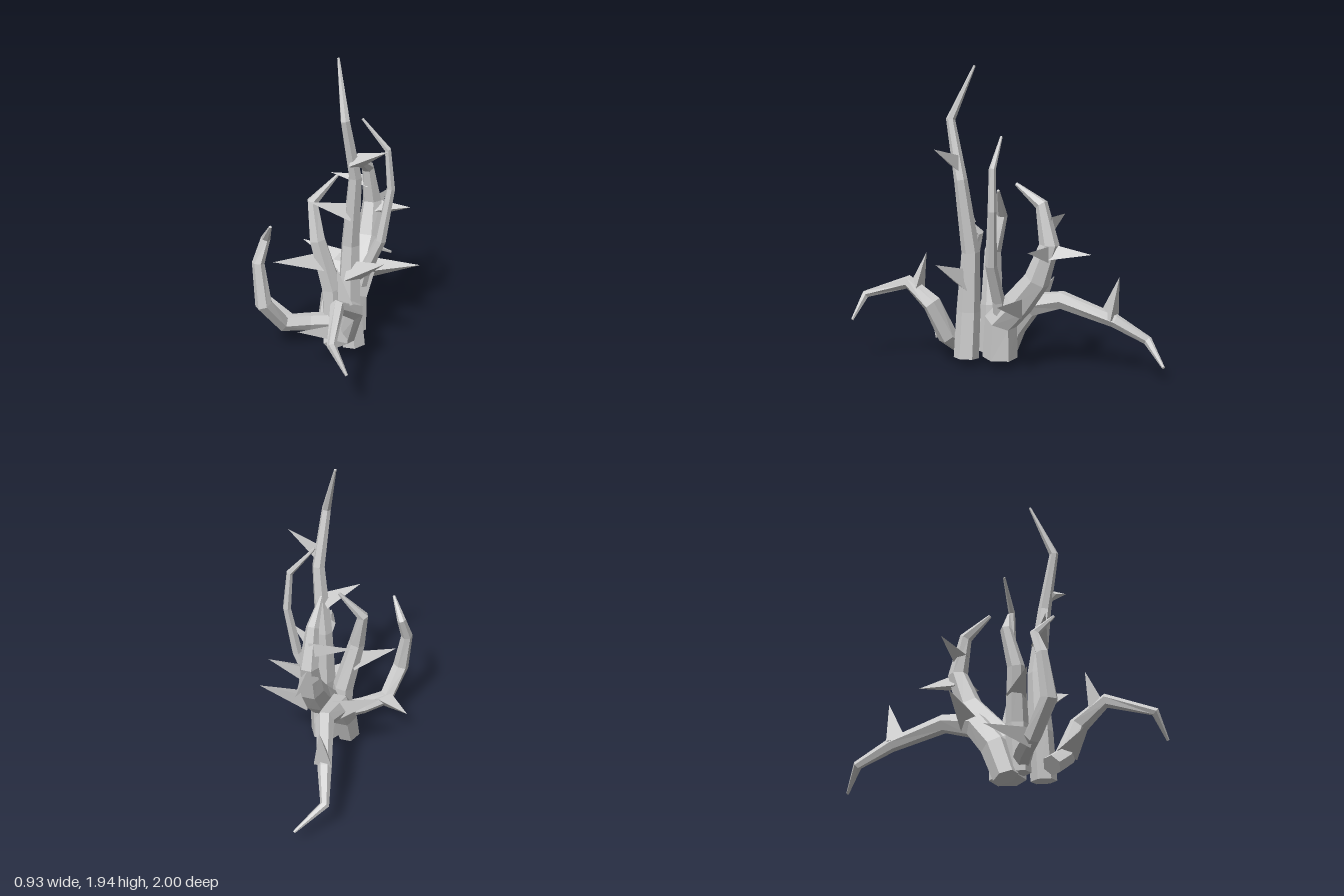
import * as THREE from 'three';

const material = new THREE.MeshStandardMaterial({ color: 0xcccccc, flatShading: true });
const SIDES = 6;

// Faceted stem: six-sided rings swept along points [x, y, z, radius], closed at both ends
function stemGeometry(path) {
  const pts = path.map(p => new THREE.Vector3(p[0], p[1], p[2]));
  const verts = [], index = [];
  const last = pts.length - 1;
  const right = new THREE.Vector3(1, 0, 0);
  pts.forEach((p, i) => {
    const before = pts[i].clone().sub(pts[Math.max(i - 1, 0)]).normalize();
    const after = pts[Math.min(i + 1, last)].clone().sub(pts[i]).normalize();
    const dir = before.add(after).normalize();
    right.addScaledVector(dir, -right.dot(dir)).normalize();
    const up = dir.clone().cross(right);
    for (let s = 0; s < SIDES; s++) {
      const a = (s / SIDES) * Math.PI * 2;
      const v = p.clone()
        .addScaledVector(right, Math.cos(a) * path[i][3])
        .addScaledVector(up, Math.sin(a) * path[i][3]);
      verts.push(v.x, v.y, v.z);
    }
  });
  for (let i = 0; i < last; i++) {
    for (let s = 0; s < SIDES; s++) {
      const a = i * SIDES + s, b = i * SIDES + (s + 1) % SIDES;
      index.push(a, b, b + SIDES, a, b + SIDES, a + SIDES);
    }
  }
  // end caps
  const top = last * SIDES;
  for (let s = 1; s < SIDES - 1; s++) {
    index.push(0, s + 1, s, top, top + s, top + s + 1);
  }
  const g = new THREE.BufferGeometry();
  g.setAttribute('position', new THREE.Float32BufferAttribute(verts, 3));
  g.setIndex(index);
  const flat = g.toNonIndexed();
  flat.computeVertexNormals();
  return flat;
}

// Three-sided thorn from a point inside the stem to its tip
function thorn(from, to, radius) {
  const a = new THREE.Vector3(...from), b = new THREE.Vector3(...to);
  const axis = b.clone().sub(a);
  const mesh = new THREE.Mesh(new THREE.ConeGeometry(radius, axis.length(), 3), material);
  mesh.position.copy(a).add(b).multiplyScalar(0.5);
  mesh.quaternion.setFromUnitVectors(new THREE.Vector3(0, 1, 0), axis.normalize());
  mesh.name = 'thorn';
  return mesh;
}

// Each vine: stem path with radii, then thorns as [from, to, radius]
const vines = {
  tallVine: {
    path: [[0.17, 0.055, 0.28, 0.082], [0.14, 0.36, 0.28, 0.078], [0.14, 0.75, 0.26, 0.06],
      [0.19, 1.22, 0.3, 0.043], [0.165, 1.6, 0.39, 0.03], [0.065, 1.94, 0.27, 0.008]],
    thorns: [
      [[0.19, 1.32, 0.33], [0.42, 1.43, 0.35], 0.06],
      [[0.15, 0.97, 0.28], [-0.06, 1.06, 0.43], 0.065],
      [[0.16, 0.56, 0.3], [0.41, 0.7, 0.35], 0.085],
    ],
  },
  shortVine: {
    path: [[0, 0.07, 0.2, 0.075], [-0.02, 0.38, 0.2, 0.072], [-0.1, 0.72, 0.24, 0.055],
      [-0.15, 0.96, 0.2, 0.038], [-0.005, 1.14, 0.14, 0.01]],
    thorns: [[[-0.06, 0.57, 0.22], [-0.32, 0.6, 0.43], 0.075]],
  },
  slenderVine: {
    path: [[0.08, 0.2, 0.06, 0.045], [0.14, 0.45, 0.05, 0.042], [0.25, 0.7, 0.04, 0.037],
      [0.3, 1.05, 0, 0.028], [0.28, 1.31, 0.01, 0.022], [0.12, 1.5, 0.04, 0.008]],
    thorns: [],
  },
  thickVine: {
    path: [[0.06, 0.06, 0.09, 0.115], [0.065, 0.3, 0.08, 0.11], [0.075, 0.44, -0.06, 0.1],
      [0.07, 0.6, -0.19, 0.085], [0.055, 0.83, -0.27, 0.065], [0.05, 1.08, -0.21, 0.042],
      [0.055, 1.2, -0.03, 0.012]],
    thorns: [
      [[0.05, 0.95, -0.25], [-0.23, 0.99, -0.23], 0.06],
      [[0.06, 0.77, -0.26], [0.33, 0.82, -0.27], 0.07],
      [[0.05, 0.77, -0.26], [0.04, 0.79, -0.56], 0.07],
      [[0.12, 0.42, -0.08], [0.46, 0.49, -0.13], 0.08],
    ],
  },
  rearVine: {
    path: [[-0.075, 0.03, 0.15, 0.08], [-0.07, 0.24, 0.07, 0.09], [-0.07, 0.4, -0.06, 0.085],
      [-0.06, 0.46, -0.3, 0.06], [-0.17, 0.34, -0.62, 0.045], [-0.24, 0.22, -0.82, 0.03],
      [-0.1, 0.1, -0.99, 0.009]],
    thorns: [
      [[-0.08, 0.42, -0.1], [-0.37, 0.54, -0.08], 0.08],
      [[-0.16, 0.36, -0.59], [-0.15, 0.63, -0.66], 0.07],
    ],
  },
  rightCurlVine: {
    path: [[0, 0.15, 0.22, 0.06], [-0.13, 0.16, 0.31, 0.058], [-0.26, 0.18, 0.43, 0.055],
      [-0.32, 0.37, 0.57, 0.055], [-0.36, 0.64, 0.55, 0.04], [-0.335, 0.79, 0.49, 0.03],
      [-0.25, 0.92, 0.58, 0.009]],
    thorns: [[[-0.24, 0.18, 0.41], [-0.47, 0.23, 0.22], 0.07]],
  },
  frontVine: {
    path: [[0.06, 0.105, 0.39, 0.065], [0.18, 0.19, 0.42, 0.065], [0.265, 0.41, 0.48, 0.062],
      [0.245, 0.53, 0.68, 0.045], [0.34, 0.435, 0.96, 0.028], [0.45, 0.28, 0.99, 0.009]],
    thorns: [
      [[0.19, 0.23, 0.44], [-0.02, 0.3, 0.69], 0.08],
      [[0.25, 0.5, 0.61], [0.19, 0.73, 0.57], 0.06],
    ],
  },
};

export function createModel() {
  const model = new THREE.Group();
  model.name = 'thornyVines';
  for (const [name, { path, thorns }] of Object.entries(vines)) {
    const vine = new THREE.Group();
    vine.name = name;
    const stem = new THREE.Mesh(stemGeometry(path), material);
    stem.name = 'stem';
    vine.add(stem, ...thorns.map(t => thorn(...t)));
    model.add(vine);
  }
  return model;
}
